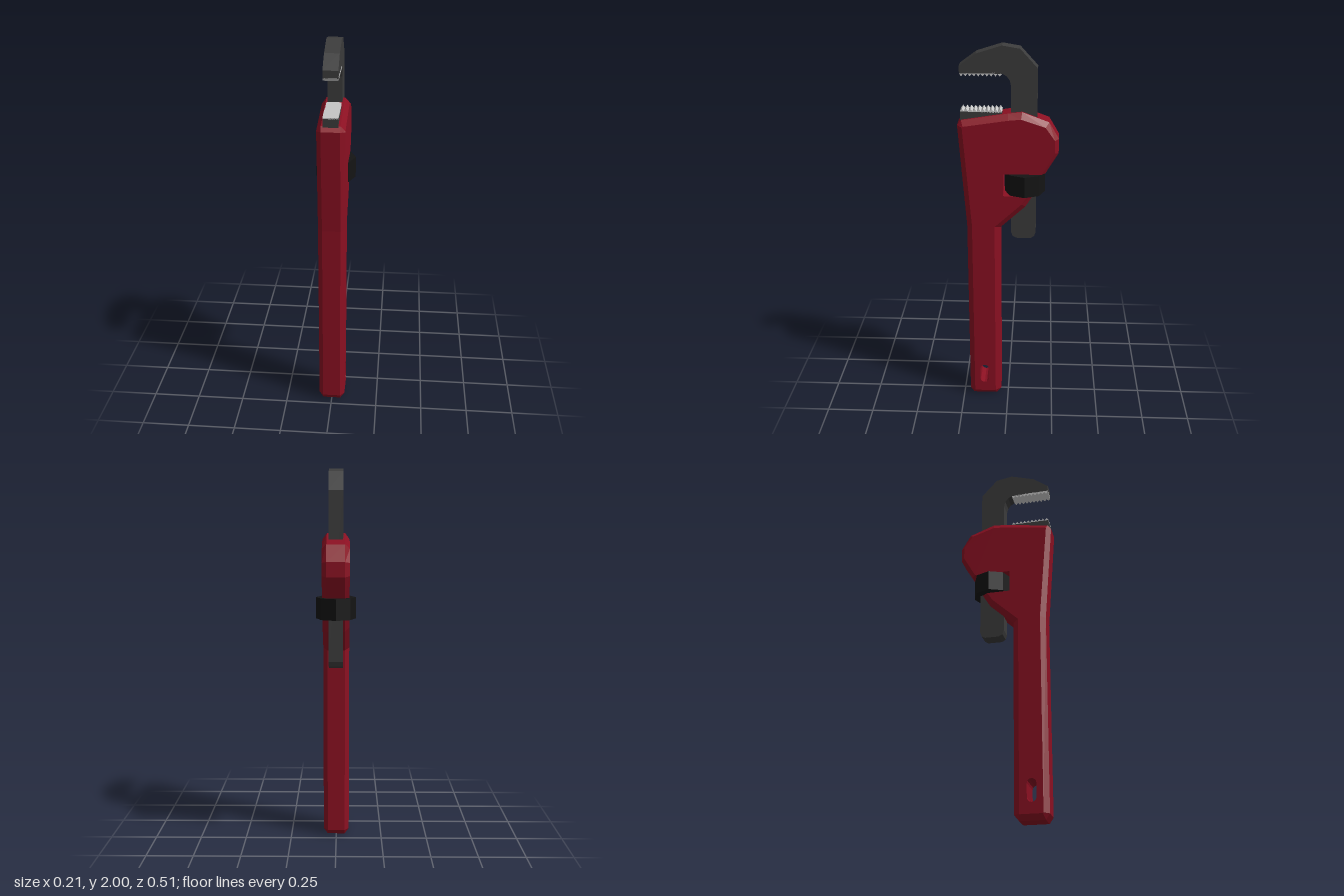
import * as THREE from 'three';

const material = (color) => new THREE.MeshStandardMaterial({ color, flatShading: true });
const red = material(0x8c1022), steel = material(0x3c3c3c), black = material(0x141414), bare = material(0xcccccc);

// Skins rings of [z, y] points (counter-clockwise) placed at rising x; an optional hole runs straight through.
function loft(rings, hole = []) {
  const pos = [];
  const tri = (...pts) => pts.forEach((p) => pos.push(...p));
  const wall = (x0, loop0, x1, loop1) => loop0.forEach((p, i) => {
    const j = (i + 1) % loop0.length;
    const a = [x0, p[1], p[0]], b = [x0, loop0[j][1], loop0[j][0]];
    const c = [x1, loop1[j][1], loop1[j][0]], d = [x1, loop1[i][1], loop1[i][0]];
    tri(a, d, c);
    tri(a, c, b);
  });
  const cap = (x, loop, dir) => {
    const outer = loop.map((p) => new THREE.Vector2(...p));
    const inner = hole.map((p) => new THREE.Vector2(...p));
    const all = [...outer, ...inner];
    for (const f of THREE.ShapeUtils.triangulateShape(outer, inner.length ? [inner] : [])) {
      const [a, b, c] = f.map((i) => all[i]);
      const area = (b.x - a.x) * (c.y - a.y) - (b.y - a.y) * (c.x - a.x);
      const order = area * dir < 0 ? [a, b, c] : [a, c, b];
      tri(...order.map((v) => [x, v.y, v.x]));
    }
  };
  for (let k = 0; k < rings.length - 1; k++) wall(...rings[k], ...rings[k + 1]);
  const first = rings[0], last = rings[rings.length - 1];
  cap(first[0], first[1], -1);
  cap(last[0], last[1], 1);
  if (hole.length) wall(first[0], hole, last[0], hole);
  const g = new THREE.BufferGeometry();
  g.setAttribute('position', new THREE.Float32BufferAttribute(pos, 3));
  g.computeVertexNormals();
  return g;
}

const plate = (halfWidth, pts) => loft([[-halfWidth, pts], [halfWidth, pts]]);

// Saw-toothed strip: flat at yBase, tooth valleys at yRoot, points at yTip
function toothStrip(yBase, yRoot, yTip) {
  const z0 = 0.03, z1 = 0.24, count = 10, step = (z1 - z0) / count;
  const edge = [[z1, yRoot]];
  for (let i = 0; i < count; i++) {
    edge.push([z1 - (i + 0.5) * step, yTip], [z1 - (i + 1) * step, yRoot]);
  }
  const pts = [...edge, [z0, yBase], [z1, yBase]];
  return plate(0.037, yTip > yBase ? pts : pts.reverse());
}

export function createModel() {
  const group = new THREE.Group();
  const add = (name, geometry, mat) => {
    const mesh = new THREE.Mesh(geometry, mat);
    mesh.name = name;
    group.add(mesh);
    return mesh;
  };

  // Handle and head in one piece, chamfered, with a notch for the nut
  const outer = [
    [0.255, 1.605], [0.235, 1.63], [0, 1.667], [-0.07, 1.675], [-0.205, 1.625],
    [-0.255, 1.54], [-0.255, 1.465], [-0.19, 1.355], [0.025, 1.355], [0.025, 1.235],
    [-0.13, 1.235], [-0.09, 1.17], [0.04, 1.05], [0.04, 0.03], [0.065, 0],
    [0.195, 0], [0.215, 0.03], [0.215, 1.06],
  ];
  const inset = [
    [0.23, 1.6], [0.225, 1.603], [0, 1.637], [-0.065, 1.643], [-0.187, 1.603],
    [-0.235, 1.535], [-0.235, 1.47], [-0.17, 1.355], [0.025, 1.355], [0.025, 1.235],
    [-0.1, 1.235], [-0.07, 1.19], [0.07, 1.06], [0.07, 0.031], [0.073, 0.028],
    [0.185, 0.028], [0.188, 0.031], [0.188, 1.065],
  ];
  // Rounded hanging slot, listed clockwise
  const slot = [];
  for (let i = 0; i < 14; i++) {
    const top = i < 7;
    const a = Math.PI - (Math.PI * (top ? i : i - 1)) / 6;
    slot.push([0.132 + 0.024 * Math.cos(a), (top ? 0.176 : 0.108) + 0.024 * Math.sin(a)]);
  }
  add('handle', loft([[-0.07, inset], [-0.047, outer], [0.047, outer], [0.07, inset]], slot), red);

  // Sliding hook jaw with its long shank
  add('hookJaw', plate(0.037, [
    [0.24, 1.9], [0.158, 1.96], [0.03, 2], [-0.058, 1.985], [-0.145, 1.89],
    [-0.145, 1.02], [-0.137, 0.997], [-0.118, 0.985], [-0.043, 0.985], [-0.023, 0.997], [-0.015, 1.02],
    [-0.015, 1.8], [-0.008, 1.83], [0.008, 1.852], [0.03, 1.863], [0.24, 1.863],
  ]), steel);
  add('hookTeeth', toothStrip(1.868, 1.862, 1.849), bare);

  // Fixed heel jaw set into the head
  add('heelJaw', plate(0.037, [[0.24, 1.58], [0.24, 1.671], [0.03, 1.671], [0.03, 1.58]]), steel);
  add('heelTeeth', toothStrip(1.666, 1.672, 1.686), bare);

  // Eight-sided adjusting nut
  add('adjustingNut', new THREE.CylinderGeometry(0.104, 0.104, 0.11, 8), black).position.set(0, 1.295, -0.085);

  return group;
}
